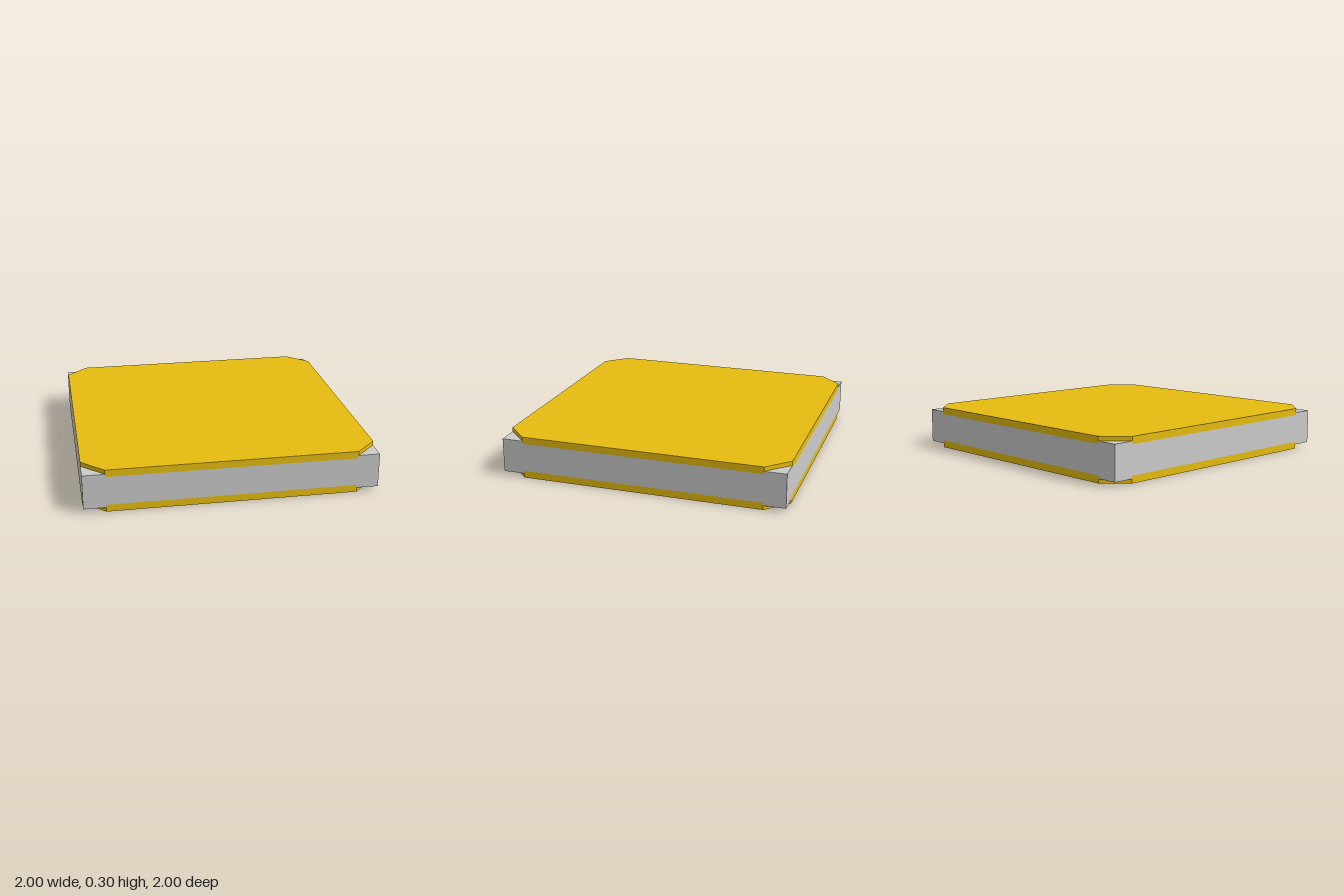
import * as THREE from 'three';

const HALF = 1, CUT = 0.15; // half width of the slab, corner chamfer
const PLATE = 0.05, LIP = 0.02, HEIGHT = 0.3;

// Upright prism from a plan outline, spanning y0 to y0 + height
function prism(points, y0, height) {
  const shape = new THREE.Shape(points.map(([x, y]) => new THREE.Vector2(x, y)));
  const geometry = new THREE.ExtrudeGeometry(shape, { depth: height, bevelEnabled: false });
  return geometry.rotateX(-Math.PI / 2).translate(0, y0, 0);
}

export function createModel() {
  const group = new THREE.Group();
  const grey = new THREE.MeshStandardMaterial({ color: 0xcccccc });
  const gold = new THREE.MeshStandardMaterial({ color: 0xe6bd10 });
  const add = (name, geometry, material) => {
    const mesh = new THREE.Mesh(geometry, material);
    mesh.name = name;
    group.add(mesh);
  };

  // Square core between the two plates
  const coreHeight = HEIGHT - 2 * PLATE;
  add('core', new THREE.BoxGeometry(2 * HALF, coreHeight, 2 * HALF).translate(0, HEIGHT / 2, 0), grey);

  // Plates with chamfered corners
  const k = HALF - CUT;
  const octagon = [[HALF, -k], [HALF, k], [k, HALF], [-k, HALF], [-HALF, k], [-HALF, -k], [-k, -HALF], [k, -HALF]];
  add('bottomPlate', prism(octagon, 0, PLATE), gold);
  add('topPlate', prism(octagon, HEIGHT - PLATE, PLATE), gold);

  // Raised core corners filling part of each chamfer, above and below
  const corner = [[HALF, k], [HALF, HALF], [k, HALF]];
  for (let i = 0; i < 4; i++) {
    const turn = i * Math.PI / 2;
    add('lowerCorner', prism(corner, PLATE - LIP, LIP).rotateY(turn), grey);
    add('upperCorner', prism(corner, HEIGHT - PLATE, LIP).rotateY(turn), grey);
  }
  return group;
}
